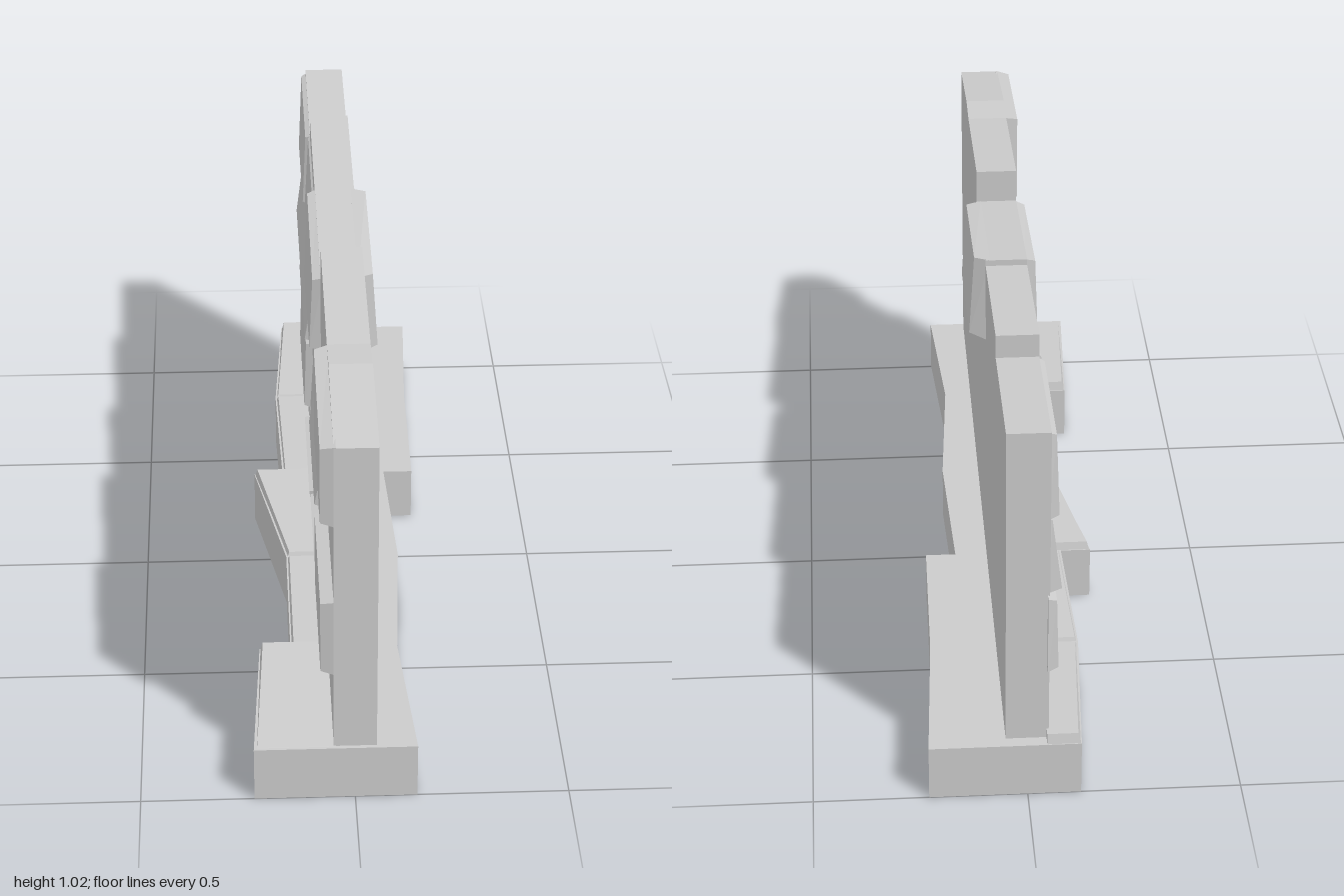
import * as THREE from 'three';

const material = new THREE.MeshStandardMaterial({ color: 0xcccccc, flatShading: true });

// Extrude an outline given as [x, y] pairs
function extrude(points, depth) {
  const shape = new THREE.Shape(points.map(([x, y]) => new THREE.Vector2(x, y)));
  return new THREE.ExtrudeGeometry(shape, { depth, bevelEnabled: false });
}

// Box whose corners are moved by a rule: (sx, sy, sz) in -1/1 -> [x, y, z]
function warpedBox(rule) {
  const geometry = new THREE.BoxGeometry(2, 2, 2);
  const p = geometry.attributes.position;
  for (let i = 0; i < p.count; i++) {
    p.setXYZ(i, ...rule(p.getX(i), p.getY(i), p.getZ(i)));
  }
  geometry.computeVertexNormals();
  return geometry;
}

// Stone on the left-hand face; outer edges are slightly chamfered
function faceStone({ z, bottom, top, out }) {
  return warpedBox((sx, sy, sz) => {
    const outer = sx < 0;
    const inset = outer ? 0.008 : 0;
    const end = sz > 0 ? 1 : 0;
    const x = outer ? -(sy > 0 ? out[1] : out[0]) : -0.045;
    const y = sy > 0 ? top[end] - inset : bottom + inset;
    return [x, y, z[end] - sz * inset];
  });
}

export function createModel() {
  const group = new THREE.Group();
  const add = (name, geometry) => {
    const mesh = new THREE.Mesh(geometry, material);
    mesh.name = name;
    group.add(mesh);
    return mesh;
  };

  // Stepped foundation, outline as [x, z]
  const outline = [
    [-0.235, 1], [0.145, 1], [0.12, 0.6], [0.145, 0.2], [0.13, -0.2], [0.205, -0.2],
    [0.21, -0.6], [0.23, -1], [-0.125, -1], [-0.15, -0.6], [-0.14, -0.2],
    [-0.215, -0.2], [-0.14, 0.2], [-0.14, 0.6], [-0.215, 0.6],
  ];
  const base = extrude(outline.map(([x, z]) => [x, -z]), 0.14);
  base.rotateX(-Math.PI / 2);
  add('foundation', base);

  // Sloping tops of the foundation stones: z range, outer x and height at each end
  const caps = [
    [-1, -0.6, -0.125, -0.15, 0.165, 0.147],
    [-0.6, -0.2, -0.15, -0.14, 0.15, 0.147],
    [-0.2, 0.2, -0.215, -0.14, 0.16, 0.15],
    [0.2, 0.6, -0.14, -0.14, 0.148, 0.152],
    [0.6, 1, -0.215, -0.235, 0.165, 0.141],
  ];
  for (const [z0, z1, x0, x1, y0, y1] of caps) {
    add('foundationCap', warpedBox((sx, sy, sz) => {
      const inset = sy > 0 ? 0.008 : 0;
      const x = sx > 0 ? -0.045 : (sz > 0 ? x1 : x0) + inset;
      const y = sy < 0 ? 0.13 : sz > 0 ? y1 : y0;
      return [x, y, (sz > 0 ? z1 : z0) - sz * inset];
    }));
  }

  // Wall slab with a ragged top, outline as [z, y]
  const profile = [
    [0.99, 0.13], [0.99, 0.945], [0.7, 0.99], [0.6, 0.985], [0.2, 1.025], [0.2, 0.942],
    [-0.2, 0.985], [-0.2, 0.97], [-0.6, 1.003], [-0.6, 0.945], [-0.975, 0.97], [-0.97, 0.13],
  ];
  const wall = extrude(profile.map(([z, y]) => [-z, y]).reverse(), 0.1);
  wall.rotateY(Math.PI / 2).translate(-0.05, 0, 0);
  add('wall', wall);

  // Rows of facing stones: z start, z end, depth at bottom, depth at top
  const rows = [
    [0.14, 0.34, [[-0.6, -0.47, 0.06, 0.055], [-0.45, -0.2, 0.055, 0.065],
      [-0.18, 0.2, 0.055, 0.08], [0.2, 0.6, 0.055, 0.078]]],
    [0.34, 0.54, [[-0.99, -0.6, 0.07, 0.065], [-0.6, -0.2, 0.08, 0.075],
      [-0.2, 0.2, 0.065, 0.055], [0.2, 0.6, 0.06, 0.055], [0.6, 0.99, 0.08, 0.08]]],
    [0.54, 0.74, [[-0.965, -0.2, 0.078, 0.055], [-0.2, 0.2, 0.06, 0.055],
      [0.2, 0.6, 0.08, 0.052]]],
  ];
  for (const [bottom, top, stones] of rows) {
    for (const [z0, z1, low, high] of stones) {
      add('facingStone', faceStone({ z: [z0, z1], bottom, top: [top, top], out: [low, high] }));
    }
  }

  // Top row follows the ragged edge: z range, top heights, depths
  const topRow = [
    [-0.97, -0.6, 0.965, 0.945, 0.07, 0.062],
    [-0.6, -0.2, 0.95, 0.92, 0.065, 0.055],
    [-0.2, 0.2, 0.985, 0.942, 0.078, 0.07],
    [0.6, 0.99, 0.985, 0.947, 0.08, 0.08],
  ];
  for (const [z0, z1, y0, y1, low, high] of topRow) {
    add('topStone', faceStone({ z: [z0, z1], bottom: 0.74, top: [y0, y1], out: [low, high] }));
  }

  // Single block standing out of the smooth face
  add('projectingBlock', warpedBox((sx, sy, sz) => {
    const outer = sx > 0;
    const front = sz > 0;
    const x = outer ? (sy > 0 ? 0.077 : 0.09) : 0.04;
    const top = front ? 0.943 : 0.985;
    const bottom = (front ? 0.73 : 0.762) + (outer ? 0.017 : 0);
    return [x, sy > 0 ? top : bottom, sz * (outer ? 0.183 : 0.2)];
  }));

  return group;
}
